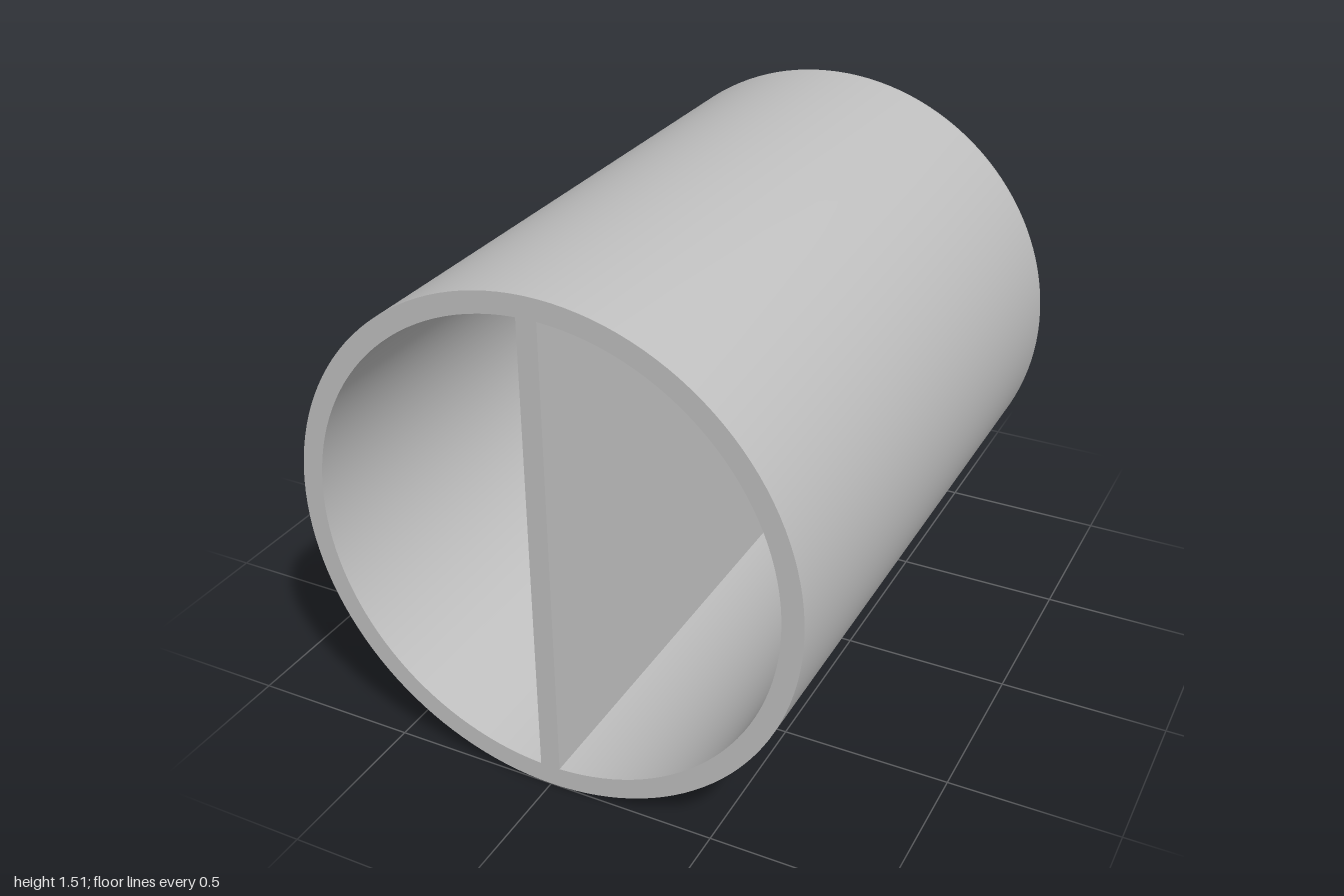
import * as THREE from 'three';
import { toCreasedNormals } from 'three/addons/utils/BufferGeometryUtils.js';

const R = 0.757;       // outer radius
const INNER = 0.695;   // bore radius
const FILLET = 0.05;   // rounded edge of the closed end
const FLOOR = 0.06;    // thickness of the closed end
const WALL = 0.06;     // divider thickness

export function createModel() {
  const group = new THREE.Group();
  group.name = 'dividedCup';
  const grey = new THREE.MeshStandardMaterial({ color: 0xc0c0c0 });
  grey.name = 'light grey';

  // Cup: closed rounded back, straight side, flat rim, bore and inner floor
  const profile = [new THREE.Vector2(0, -1)];
  for (let i = 0; i <= 8; i++) {
    const a = (i / 8) * Math.PI / 2;
    profile.push(new THREE.Vector2(
      R - FILLET + FILLET * Math.sin(a),
      -1 + FILLET - FILLET * Math.cos(a)));
  }
  profile.push(
    new THREE.Vector2(R, 1),
    new THREE.Vector2(INNER, 1),
    new THREE.Vector2(INNER, -1 + FLOOR),
    new THREE.Vector2(0, -1 + FLOOR));
  const cupGeometry = toCreasedNormals(new THREE.LatheGeometry(profile, 128), 0.6);
  cupGeometry.rotateX(Math.PI / 2);
  const cup = new THREE.Mesh(cupGeometry, grey);
  cup.name = 'cup';
  cup.position.y = R;
  group.add(cup);

  // Upright divider, flush with the rim and seated in the wall and floor
  const depth = 2 - FLOOR / 2;
  const divider = new THREE.Mesh(new THREE.BoxGeometry(WALL, 2 * INNER + 0.02, depth), grey);
  divider.name = 'divider';
  divider.position.set(0, R, 1 - depth / 2);
  group.add(divider);

  return group;
}
